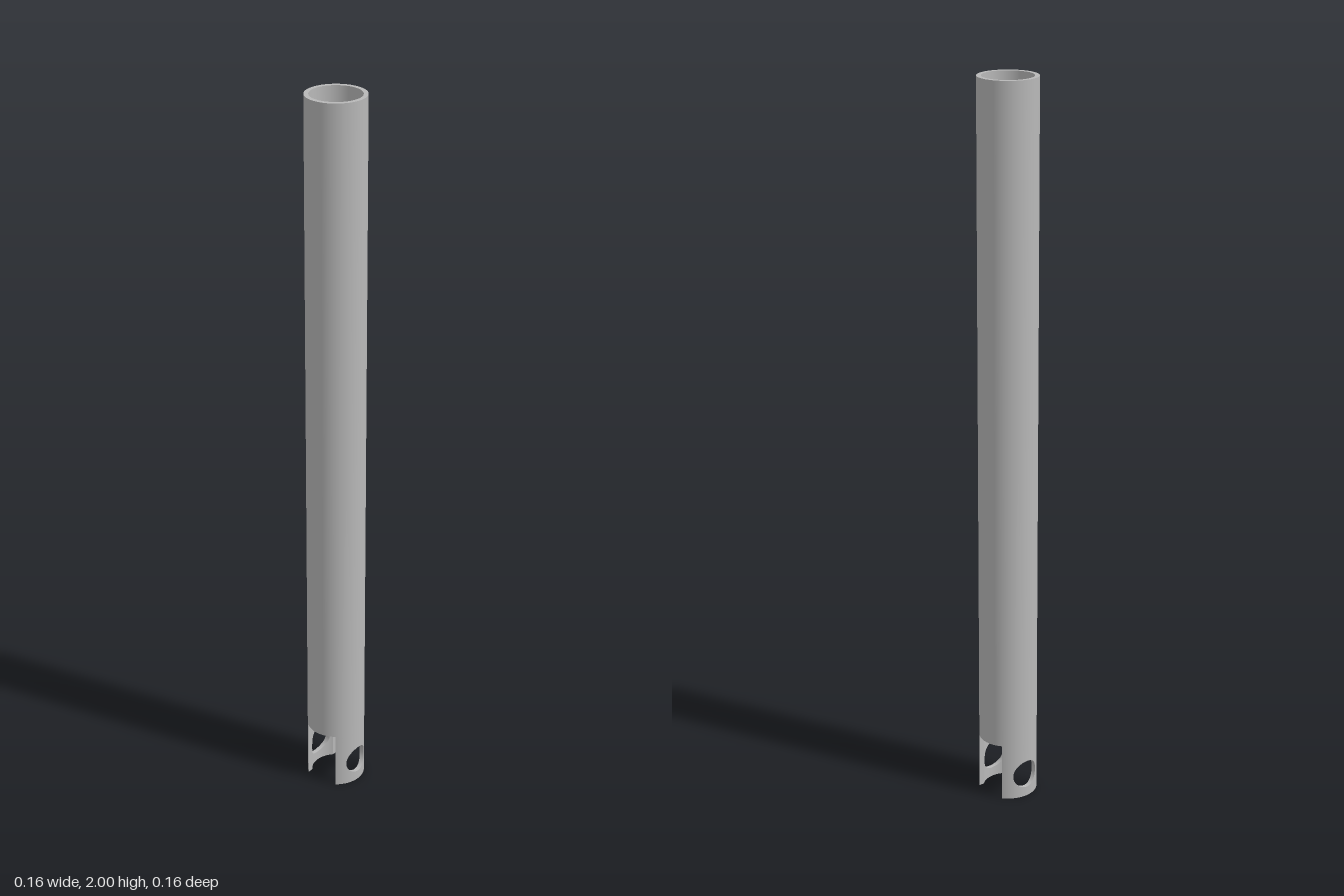
import * as THREE from 'three';
import { mergeGeometries } from 'three/addons/utils/BufferGeometryUtils.js';

const OUTER = 0.08, INNER = 0.068, TOP = 2;
const SLOT_TOP = 0.162, SLOT_HALF = 0.049;
const HOLE_Y = 0.067, HOLE_R = 0.04;
const SIDE = 16, STEPS = 5;

// Surface through rows of points; normals are flat unless a rule is given
function loft(rows, flip, normalAt) {
  const n = rows[0].length, index = [];
  for (let i = 0; i < rows.length - 1; i++) {
    for (let j = 0; j < n - 1; j++) {
      const a = i * n + j, b = a + n, c = b + 1, d = a + 1;
      index.push(...(flip ? [a, c, b, a, d, c] : [a, b, c, a, c, d]));
    }
  }
  let geo = new THREE.BufferGeometry().setFromPoints(rows.flat());
  geo.setIndex(index);
  if (normalAt) {
    const normals = rows.flat().flatMap((p) => normalAt(p).normalize().toArray());
    geo.setAttribute('normal', new THREE.Float32BufferAttribute(normals, 3));
  }
  geo = geo.toNonIndexed();
  if (!normalAt) geo.computeVertexNormals();
  return geo;
}

// Closed outline of a tab as (u, y), u from -1 to 1, counterclockwise from the lower right
function tabOutline() {
  const corners = [[1, 0], [1, SLOT_TOP], [-1, SLOT_TOP], [-1, 0], [1, 0]];
  const points = [];
  for (let k = 0; k < 4; k++) {
    for (let i = 0; i < SIDE; i++) {
      const s = i / SIDE;
      points.push([
        THREE.MathUtils.lerp(corners[k][0], corners[k + 1][0], s),
        THREE.MathUtils.lerp(corners[k][1], corners[k + 1][1], s),
      ]);
    }
  }
  points.push(corners[4]);
  return points;
}

// Rows of points on a cylinder, running from the drilled hole out to the tab outline
function tabRows(radius) {
  const limit = Math.acos(SLOT_HALF / radius);
  const rows = [];
  for (let i = 0; i <= STEPS; i++) {
    rows.push(tabOutline().map(([u, y]) => {
      const t = Math.atan2(y - HOLE_Y, u * 0.064);
      const holeAngle = Math.asin(HOLE_R * Math.cos(t) / radius);
      const angle = THREE.MathUtils.lerp(holeAngle, u * limit, i / STEPS);
      const height = THREE.MathUtils.lerp(HOLE_Y + HOLE_R * Math.sin(t), y, i / STEPS);
      return new THREE.Vector3(radius * Math.sin(angle), height, radius * Math.cos(angle));
    }));
  }
  return rows;
}

function tabGeometry() {
  const out = tabRows(OUTER), inn = tabRows(INNER);
  return mergeGeometries([
    loft(out, false, (p) => new THREE.Vector3(p.x, 0, p.z)),
    loft(inn, true, (p) => new THREE.Vector3(-p.x, 0, -p.z)),
    // Wall of the cross hole
    loft([out[0], inn[0]], true, (p) => new THREE.Vector3(-p.x, HOLE_Y - p.y, 0)),
    // Cut edges of the tab
    loft([out[STEPS], inn[STEPS]], false),
  ]);
}

// Hollow tube; each face is its own lathe so the rims stay sharp
function tubeGeometry() {
  const profile = [[OUTER, SLOT_TOP], [OUTER, TOP], [INNER, TOP], [INNER, SLOT_TOP], [OUTER, SLOT_TOP]]
    .map(([x, y]) => new THREE.Vector2(x, y));
  const faces = [];
  for (let i = 0; i < 4; i++) faces.push(new THREE.LatheGeometry([profile[i], profile[i + 1]], 96));
  return mergeGeometries(faces);
}

export function createModel() {
  const group = new THREE.Group();
  group.name = 'slottedTube';
  const metal = new THREE.MeshStandardMaterial({ color: 0xb8b8b8 });
  metal.name = 'grey metal';

  const tube = new THREE.Mesh(tubeGeometry(), metal);
  tube.name = 'tube';
  group.add(tube);

  // Drilled tabs either side of the slot
  const geo = tabGeometry();
  ['frontTab', 'backTab'].forEach((name, i) => {
    const tab = new THREE.Mesh(geo, metal);
    tab.name = name;
    tab.rotation.y = i * Math.PI;
    group.add(tab);
  });
  return group;
}
